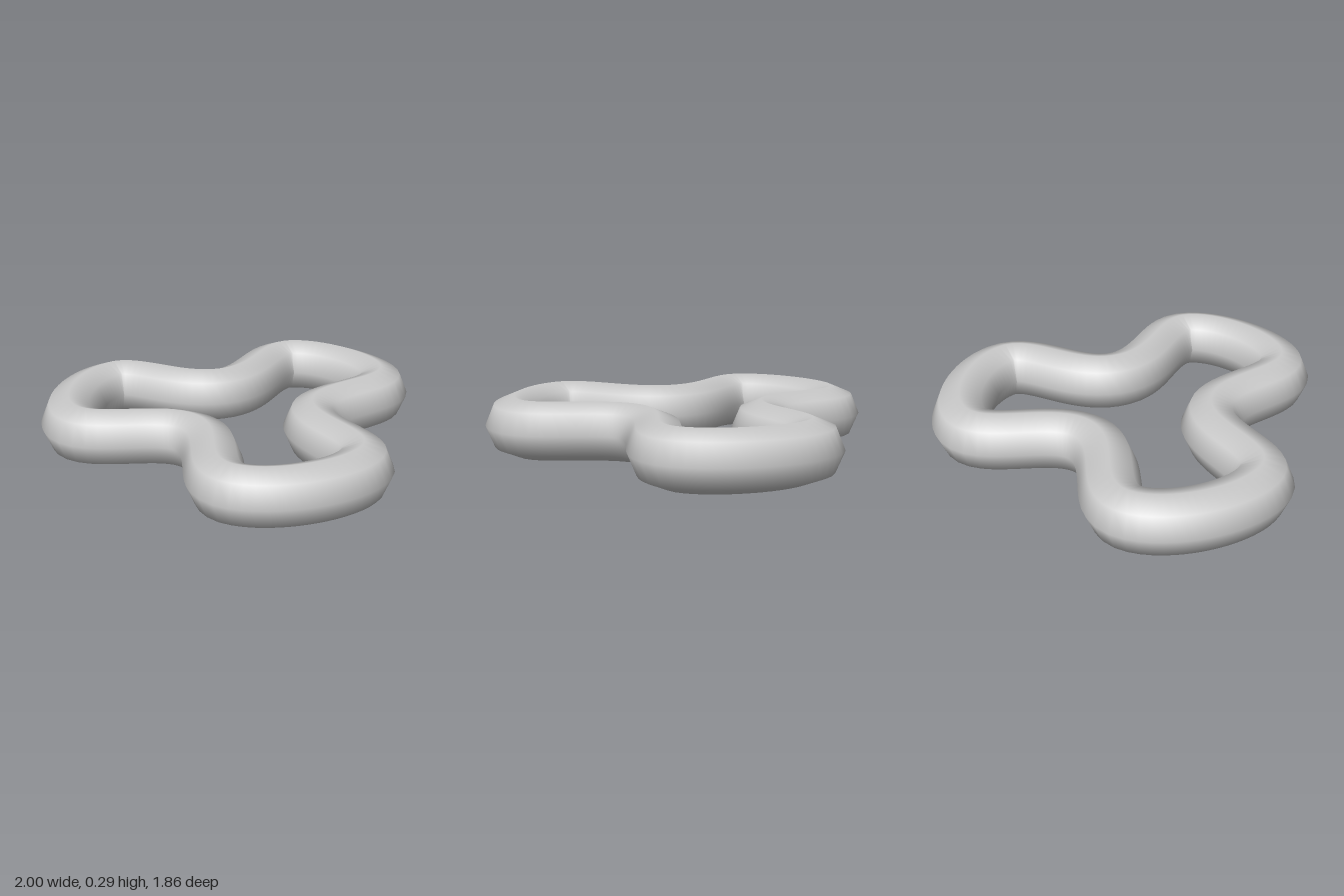
import * as THREE from 'three';

const TUBE_RADIUS = 0.147;
const CENTRE_Z = -0.11;

// Point on the ring plane, polar around the centre of the three lobes
function polar(radius, degrees) {
  const a = THREE.MathUtils.degToRad(degrees);
  return new THREE.Vector3(radius * Math.cos(a), TUBE_RADIUS, CENTRE_Z + radius * Math.sin(a));
}

export function createModel() {
  const group = new THREE.Group();
  group.name = 'threeLobedRing';

  // Each lobe has two outer corners, followed by an inward dip
  const points = [];
  for (let i = 0; i < 3; i++) {
    const axis = 90 + i * 120;
    points.push(polar(0.853, axis - 21.3), polar(0.853, axis + 21.3), polar(0.365, axis + 60));
  }
  const path = new THREE.CatmullRomCurve3(points, true, 'catmullrom', 0.65);

  // Closed eight-sided tube with smooth shading
  const tube = new THREE.Mesh(
    new THREE.TubeGeometry(path, 144, TUBE_RADIUS, 8, true),
    new THREE.MeshStandardMaterial({ color: 0xcccccc })
  );
  tube.name = 'lobedTube';
  group.add(tube);
  return group;
}
